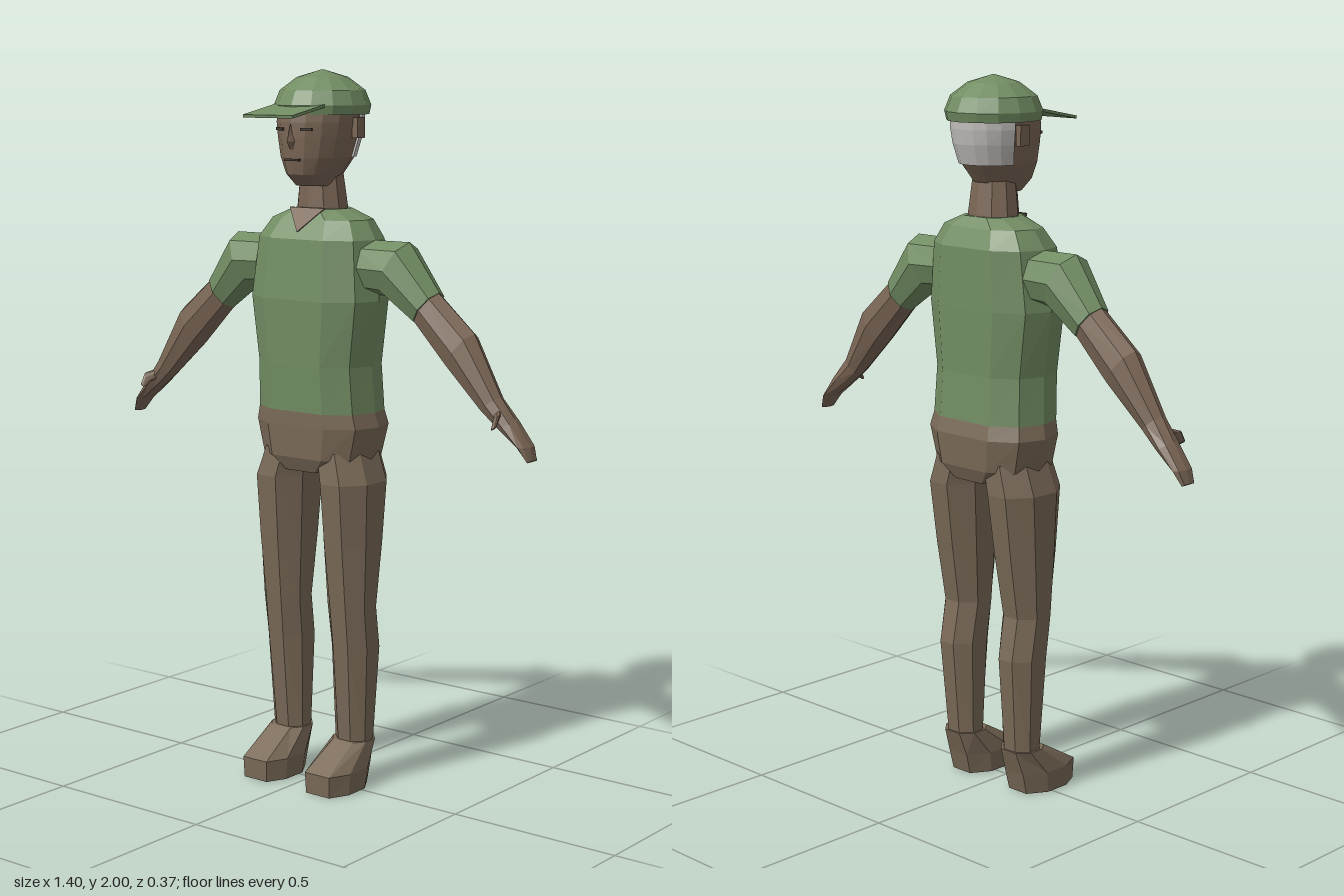
import * as THREE from 'three';

const mat = (name, color) => {
  const m = new THREE.MeshStandardMaterial({ color, flatShading: true });
  m.name = name;
  return m;
};

// Skin a list of equal-length point rings, with capped ends, facing outwards
function loft(rings) {
  const n = rings[0].length, pos = [];
  const tri = (...p) => p.forEach(v => pos.push(...v));
  const mid = r => [0, 1, 2].map(k => r.reduce((s, p) => s + p[k], 0) / n);
  for (let i = 0; i < rings.length - 1; i++) {
    for (let j = 0; j < n; j++) {
      const k = (j + 1) % n, a = rings[i], b = rings[i + 1];
      tri(a[j], b[j], b[k]);
      tri(a[j], b[k], a[k]);
    }
  }
  const first = rings[0], last = rings[rings.length - 1], c0 = mid(first), c1 = mid(last);
  for (let j = 0; j < n; j++) {
    const k = (j + 1) % n;
    tri(c0, first[j], first[k]);
    tri(c1, last[k], last[j]);
  }
  // Signed volume tells whether the corners need reversing
  let vol = 0;
  const a = new THREE.Vector3(), b = new THREE.Vector3(), c = new THREE.Vector3();
  for (let i = 0; i < pos.length; i += 9) {
    vol += a.fromArray(pos, i).dot(b.fromArray(pos, i + 3).cross(c.fromArray(pos, i + 6)));
  }
  if (vol < 0) {
    for (let i = 0; i < pos.length; i += 9) {
      for (let k = 0; k < 3; k++) [pos[i + k], pos[i + 3 + k]] = [pos[i + 3 + k], pos[i + k]];
    }
  }
  const g = new THREE.BufferGeometry();
  g.setAttribute('position', new THREE.Float32BufferAttribute(pos, 3));
  g.computeVertexNormals();
  return g;
}

// Level oval ring; from/to (in turns from the front) allow a partial arc
function oval(y, cx, rx, zf, zb, n = 10, from = 0, to = 1) {
  const open = to - from < 1;
  return Array.from({ length: n }, (_, i) => {
    const t = (from + (to - from) * i / (open ? n - 1 : n)) * Math.PI * 2;
    return [cx + rx * Math.sin(t), y, (zf + zb) / 2 + (zf - zb) / 2 * Math.cos(t)];
  });
}

// Flat-fronted trunk ring
const half = [[0.5, 1], [0.88, 0.62], [1, 0], [0.88, -0.62], [0.5, -1]];
const trunkShape = [...half, ...half.map(([x, z]) => [-x, z]).reverse()];
const trunk = ([y, rx, zf, zb]) =>
  trunkShape.map(([x, z]) => [x * rx, y, (zf + zb) / 2 + z * (zf - zb) / 2]);

// Limb ring between an upper and a lower point
function limb(s, [tx, ty, bx, by, zc, rz]) {
  return Array.from({ length: 8 }, (_, i) => {
    const t = i / 8 * Math.PI * 2, c = Math.cos(t);
    return [s * ((tx + bx) / 2 + (tx - bx) / 2 * c), (ty + by) / 2 + (ty - by) / 2 * c, zc + rz * Math.sin(t)];
  });
}

export function createModel() {
  const model = new THREE.Group();
  model.name = 'figure';
  const green = mat('green cloth', 0x728d63);
  const skin = mat('brown skin', 0x7a6655);
  const brown = mat('brown trousers', 0x7a6a58);
  const grey = mat('pale grey hair', 0xc0bdbb);
  const dark = mat('dark features', 0x40352d);
  const add = (name, geo, m) => {
    const mesh = new THREE.Mesh(geo, m);
    mesh.name = name;
    model.add(mesh);
    return mesh;
  };
  const box = (name, w, h, d, x, y, z, m, rx = 0) => {
    const mesh = add(name, new THREE.BoxGeometry(w, h, d), m);
    mesh.position.set(x, y, z);
    mesh.rotation.x = rx;
    return mesh;
  };

  // Trunk
  add('shirt', loft([
    [1.07, 0.186, 0.072, -0.165], [1.2, 0.18, 0.08, -0.158], [1.38, 0.205, 0.085, -0.16],
    [1.545, 0.186, 0.07, -0.16], [1.597, 0.152, 0.037, -0.138], [1.625, 0.08, 0.017, -0.118],
  ].map(trunk)), green);
  add('hips', loft([
    [0.9, 0.1, 0.05, -0.15], [0.94, 0.172, 0.068, -0.168], [1.03, 0.196, 0.072, -0.175],
    [1.07, 0.186, 0.072, -0.165],
  ].map(trunk)), brown);
  const vee = dz => [[-0.06, 1.628, 0.012 + dz], [0.06, 1.628, 0.012 + dz], [0, 1.565, 0.057 + dz]];
  add('neckline', loft([vee(0), vee(0.008)]), skin);

  // Neck and head
  add('neck', loft([oval(1.58, 0, 0.08, 0.01, -0.12), oval(1.63, 0, 0.076, 0.016, -0.116),
    oval(1.72, 0, 0.064, 0.012, -0.105)]), skin);
  const headRings = [
    [1.688, 0.05, 0.04, -0.075], [1.72, 0.068, 0.077, -0.11], [1.765, 0.092, 0.086, -0.143],
    [1.82, 0.105, 0.09, -0.16], [1.86, 0.112, 0.09, -0.165], [1.9, 0.112, 0.085, -0.165],
  ];
  add('head', loft(headRings.map(([y, rx, zf, zb]) => oval(y, 0, rx, zf, zb, 16))), skin);
  add('hair', loft(headRings.slice(2).map(([y, rx, zf, zb]) =>
    oval(y, 0, rx + 0.005, zf, zb - 0.005, 9, 0.3, 0.7))), grey);
  add('nose', loft([[1.79, 0.02, 0.094], [1.81, 0.02, 0.107], [1.855, 0.009, 0.092]].map(([y, w, z]) =>
    [[-w, y, 0.07], [0, y, z], [w, y, 0.07]])), skin);
  box('mouth', 0.05, 0.006, 0.008, 0, 1.76, 0.084, dark);

  // Cap with sloping peak
  add('cap', loft([
    [1.88, 0.126, 0.083, -0.18], [1.905, 0.131, 0.088, -0.186], [1.945, 0.116, 0.07, -0.168],
    [1.98, 0.07, 0.022, -0.12], [2, 0.004, -0.045, -0.053],
  ].map(([y, rx, zf, zb]) => oval(y, 0, rx, zf, zb, 14))), green);
  box('capPeak', 0.17, 0.008, 0.15, 0, 1.892, 0.114, green, 0.19);

  for (const s of [1, -1]) {
    const side = s > 0 ? 'left' : 'right';
    // Face details
    box(side + 'Eye', 0.032, 0.008, 0.008, s * 0.045, 1.842, 0.079, dark).rotation.y = s * 0.4;
    box(side + 'Ear', 0.018, 0.055, 0.035, s * 0.117, 1.845, -0.058, skin);

    // Arm
    add(side + 'Sleeve', loft([
      [0.16, 1.545, 0.16, 1.4, -0.045, 0.07], [0.3, 1.545, 0.225, 1.395, -0.045, 0.075],
      [0.395, 1.415, 0.325, 1.325, -0.05, 0.053],
    ].map(r => limb(s, r))), green);
    add(side + 'Arm', loft([
      [0.38, 1.425, 0.315, 1.335, -0.05, 0.046], [0.51, 1.315, 0.43, 1.215, -0.048, 0.05],
      [0.6, 1.155, 0.545, 1.11, -0.043, 0.034], [0.645, 1.095, 0.605, 1.065, -0.048, 0.037],
      [0.69, 1.03, 0.658, 1.03, -0.05, 0.037], [0.7, 0.995, 0.69, 0.99, -0.05, 0.025],
    ].map(r => limb(s, r))), skin);
    add(side + 'Thumb', loft([
      [0.605, 1.125, 0.59, 1.105, -0.03, 0.012], [0.625, 1.115, 0.605, 1.09, 0.0, 0.012],
      [0.625, 1.085, 0.612, 1.075, 0.018, 0.008],
    ].map(r => limb(s, r))), skin);

    // Leg
    add(side + 'Leg', loft([
      [0.96, 0.09, 0.08, 0.06, -0.16], [0.875, 0.113, 0.087, 0.072, -0.165],
      [0.7, 0.114, 0.08, 0.056, -0.14], [0.52, 0.115, 0.07, 0.034, -0.108],
      [0.4, 0.116, 0.067, 0.022, -0.13], [0.13, 0.112, 0.056, -0.004, -0.106],
    ].map(([y, x, rx, zf, zb]) => oval(y, s * x, rx, zf, zb, 8, 0.0625, 1.0625))), brown);

    // Shoe: outline per level as inner x, outer x, toe z, heel z
    add(side + 'Shoe', loft([
      [0, 0.045, 0.18, 0.115, -0.07], [0.06, 0.042, 0.183, 0.118, -0.085], [0.13, 0.055, 0.17, 0, -0.108],
    ].map(([y, xi, xo, zt, zh]) => {
      const w = xo - xi, d = zt - zh;
      return [[xi + w * 0.2, zt], [xo - w * 0.2, zt], [xo, zt - d * 0.3], [xo, zh + d * 0.3],
        [xo - w * 0.25, zh], [xi + w * 0.25, zh], [xi, zh + d * 0.3], [xi, zt - d * 0.3]]
        .map(([x, z]) => [s * x, y, z]);
    })), brown);
  }
  return model;
}
